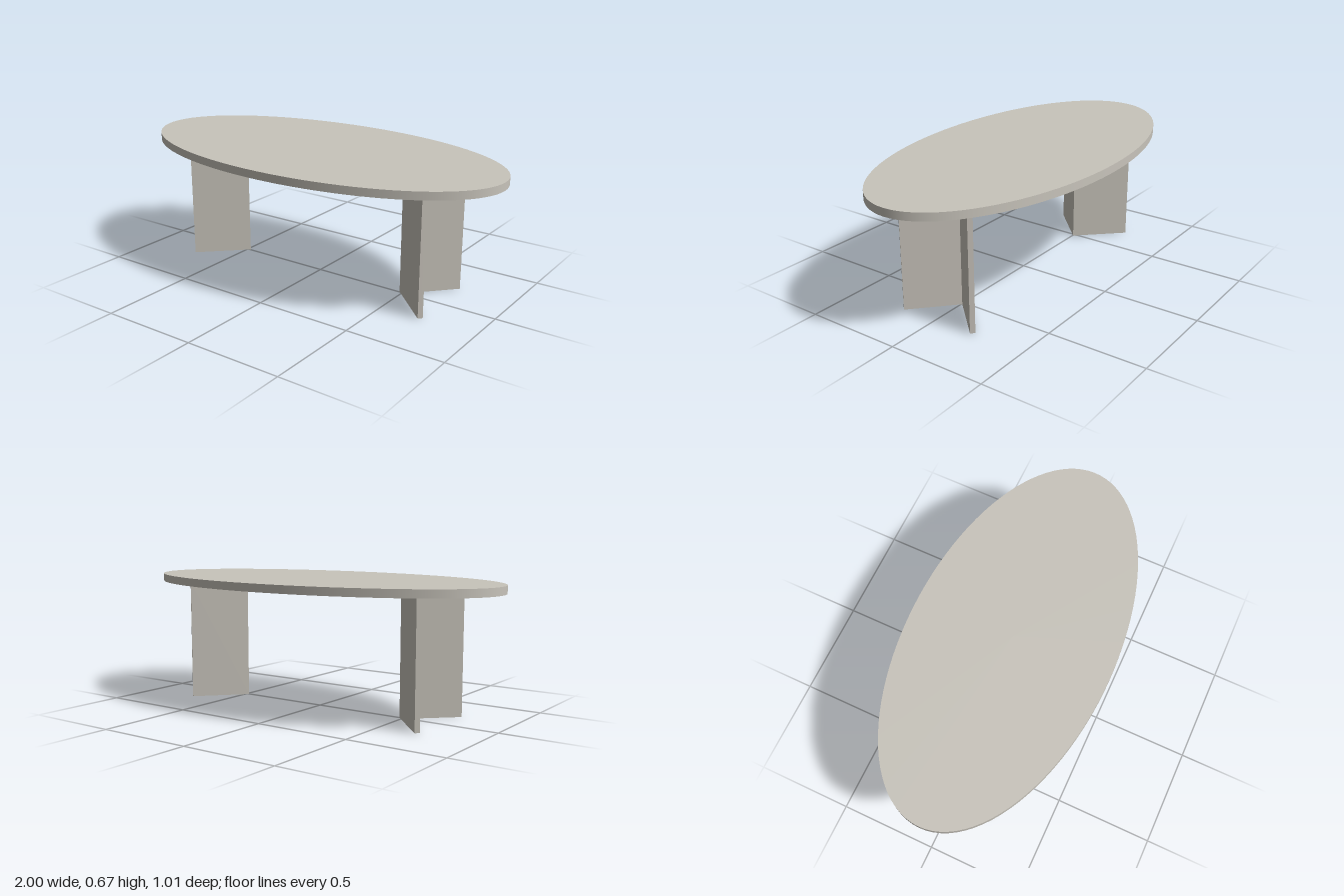
import * as THREE from 'three';

const LEG_HEIGHT = 0.626;
const TOP_HEIGHT = 0.666;

// L-shaped leg of two upright boards meeting near the table's middle; side is +1 or -1
function legGeometry(side) {
  const apex = new THREE.Vector2(0.482, -0.004);
  const length = 0.306, thick = 0.025;
  const angle = THREE.MathUtils.degToRad(43.5);
  const front = new THREE.Vector2(Math.cos(angle), Math.sin(angle));
  const back = new THREE.Vector2(Math.sin(angle), -Math.cos(angle));
  const at = (f, b) => {
    const p = apex.clone().addScaledVector(front, f).addScaledVector(back, b);
    return new THREE.Vector2(p.x * side, -p.y);
  };
  const outline = new THREE.Shape([
    at(0, 0), at(length, 0), at(length, thick),
    at(thick, thick), at(thick, length), at(0, length),
  ]);
  const geometry = new THREE.ExtrudeGeometry(outline, { depth: LEG_HEIGHT, bevelEnabled: false });
  return geometry.rotateX(-Math.PI / 2);
}

export function createModel() {
  const model = new THREE.Group();
  model.name = 'ovalTable';
  const stone = new THREE.MeshStandardMaterial({ color: 0xc8c4bb });
  stone.name = 'warmGrey';

  // Oval top
  const slab = new THREE.CylinderGeometry(1, 1, TOP_HEIGHT - LEG_HEIGHT, 96);
  slab.scale(1, 1, 0.505);
  const top = new THREE.Mesh(slab, stone);
  top.name = 'tableTop';
  top.position.y = (TOP_HEIGHT + LEG_HEIGHT) / 2;
  model.add(top);

  // Mirrored legs
  for (const side of [1, -1]) {
    const leg = new THREE.Mesh(legGeometry(side), stone);
    leg.name = side > 0 ? 'leftLeg' : 'rightLeg';
    model.add(leg);
  }
  return model;
}
